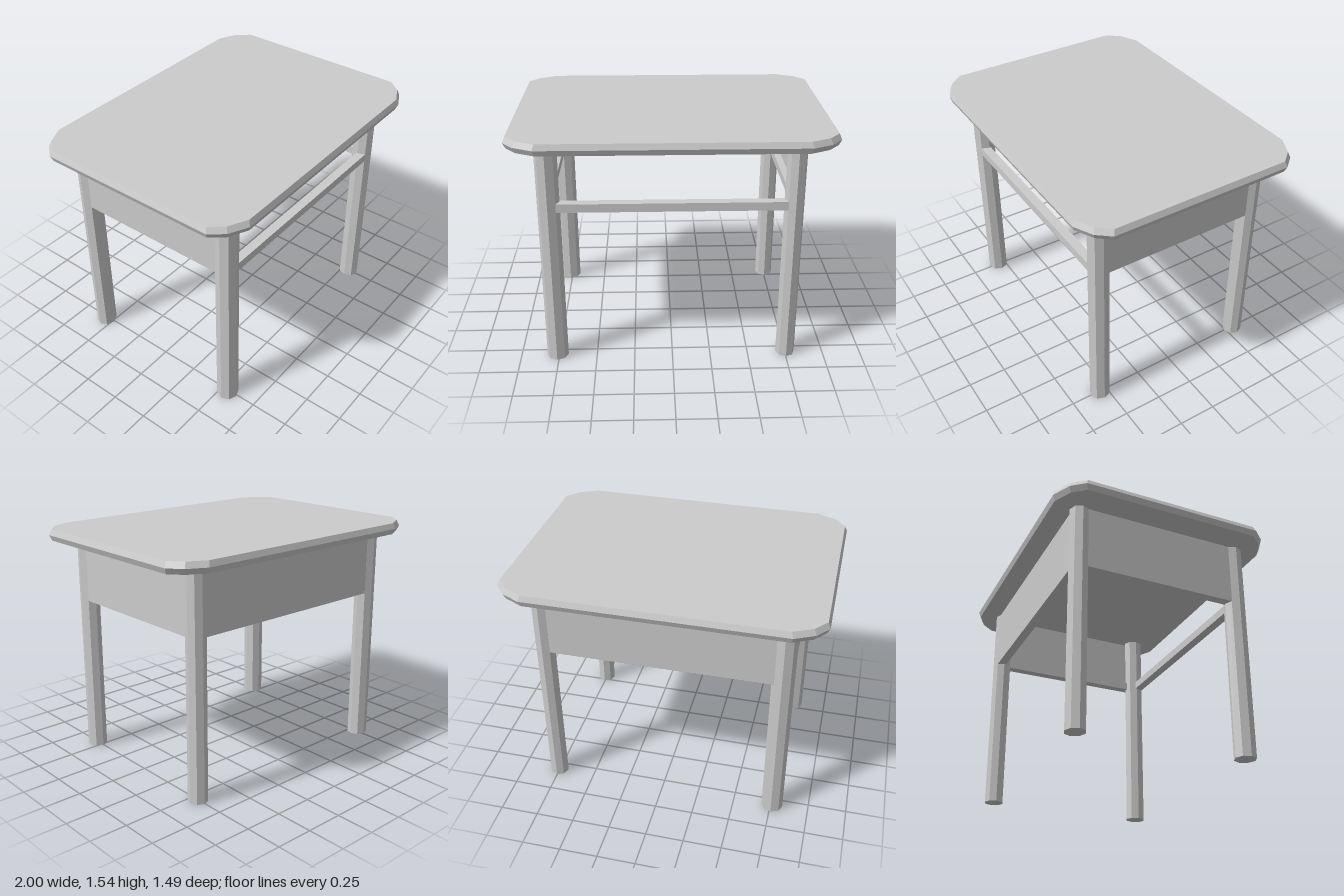
import * as THREE from 'three';

const material = new THREE.MeshStandardMaterial({ color: 0xcccccc, flatShading: true });

const TOP_Y = 1.545, UNDER_Y = 1.472; // table top slab
const FRAME_Y = 1.055, RAIL_H = 0.055, RAIL_D = 0.06; // bars under the shelf space
const PANEL_T = 0.015;
const X0 = -0.81, X1 = 0.796, Z0 = -0.598, Z1 = 0.6; // outer faces of the frame

function add(group, name, geometry) {
  const mesh = new THREE.Mesh(geometry, material);
  mesh.name = name;
  group.add(mesh);
  return mesh;
}

// Box given by its minimum and maximum corners
function addBox(group, name, [ax, ay, az], [bx, by, bz]) {
  const mesh = add(group, name, new THREE.BoxGeometry(bx - ax, by - ay, bz - az));
  mesh.position.set((ax + bx) / 2, (ay + by) / 2, (az + bz) / 2);
}

// Slab with clipped corners, widest at mid height
function tableTopGeometry() {
  const corner = [[1, 0.6], [0.93, 0.685], [0.81, 0.745]];
  const outline = [];
  for (const [sx, sy] of [[1, 1], [-1, 1], [-1, -1], [1, -1]]) {
    const points = corner.map(([x, y]) => new THREE.Vector2(x * sx, y * sy));
    outline.push(...(sx * sy > 0 ? points : points.reverse()));
  }
  const depth = TOP_Y - UNDER_Y;
  const geometry = new THREE.ExtrudeGeometry(new THREE.Shape(outline), { depth, steps: 2, bevelEnabled: false });
  const p = geometry.attributes.position;
  for (let i = 0; i < p.count; i++) {
    if (Math.abs(p.getZ(i) - depth / 2) > depth / 4) {
      p.setX(i, p.getX(i) * 0.985);
      p.setY(i, p.getY(i) * 0.982);
    }
  }
  geometry.rotateX(-Math.PI / 2);
  geometry.computeVertexNormals();
  return geometry;
}

export function createModel() {
  const table = new THREE.Group();
  table.name = 'table';

  add(table, 'tableTop', tableTopGeometry()).position.y = UNDER_Y;

  // Eight-sided legs
  const sides = [['left', 0.752, 0.062], ['right', -0.76, 0.07]];
  const ends = [['front', 0.55, 0.07], ['back', -0.553, 0.064]];
  for (const [side, x, rx] of sides) {
    for (const [end, z, rz] of ends) {
      const leg = add(table, `${end}${side === 'left' ? 'Left' : 'Right'}Leg`, new THREE.CylinderGeometry(1, 1, UNDER_Y, 8));
      leg.scale.set(rx, 1, rz);
      leg.position.set(x, UNDER_Y / 2, z);
    }
  }

  // Rails around the bottom of the frame, ending inside the legs
  const railTop = FRAME_Y + RAIL_H;
  addBox(table, 'frontRail', [-0.76, FRAME_Y, Z1 - RAIL_D], [0.75, railTop, Z1]);
  addBox(table, 'backRail', [-0.76, FRAME_Y, Z0], [0.75, railTop, Z0 + RAIL_D]);
  addBox(table, 'leftRail', [X1 - RAIL_D, FRAME_Y, -0.55], [X1, railTop, 0.55]);
  addBox(table, 'rightRail', [X0, FRAME_Y, -0.55], [X0 + RAIL_D, railTop, 0.55]);

  // Thin panels closing the back and both sides; the front stays open
  addBox(table, 'backPanel', [-0.76, railTop, Z0], [0.75, UNDER_Y, Z0 + PANEL_T]);
  addBox(table, 'leftPanel', [X1 - PANEL_T, railTop, -0.55], [X1, UNDER_Y, 0.55]);
  addBox(table, 'rightPanel', [X0, railTop, -0.55], [X0 + PANEL_T, UNDER_Y, 0.55]);

  return table;
}
